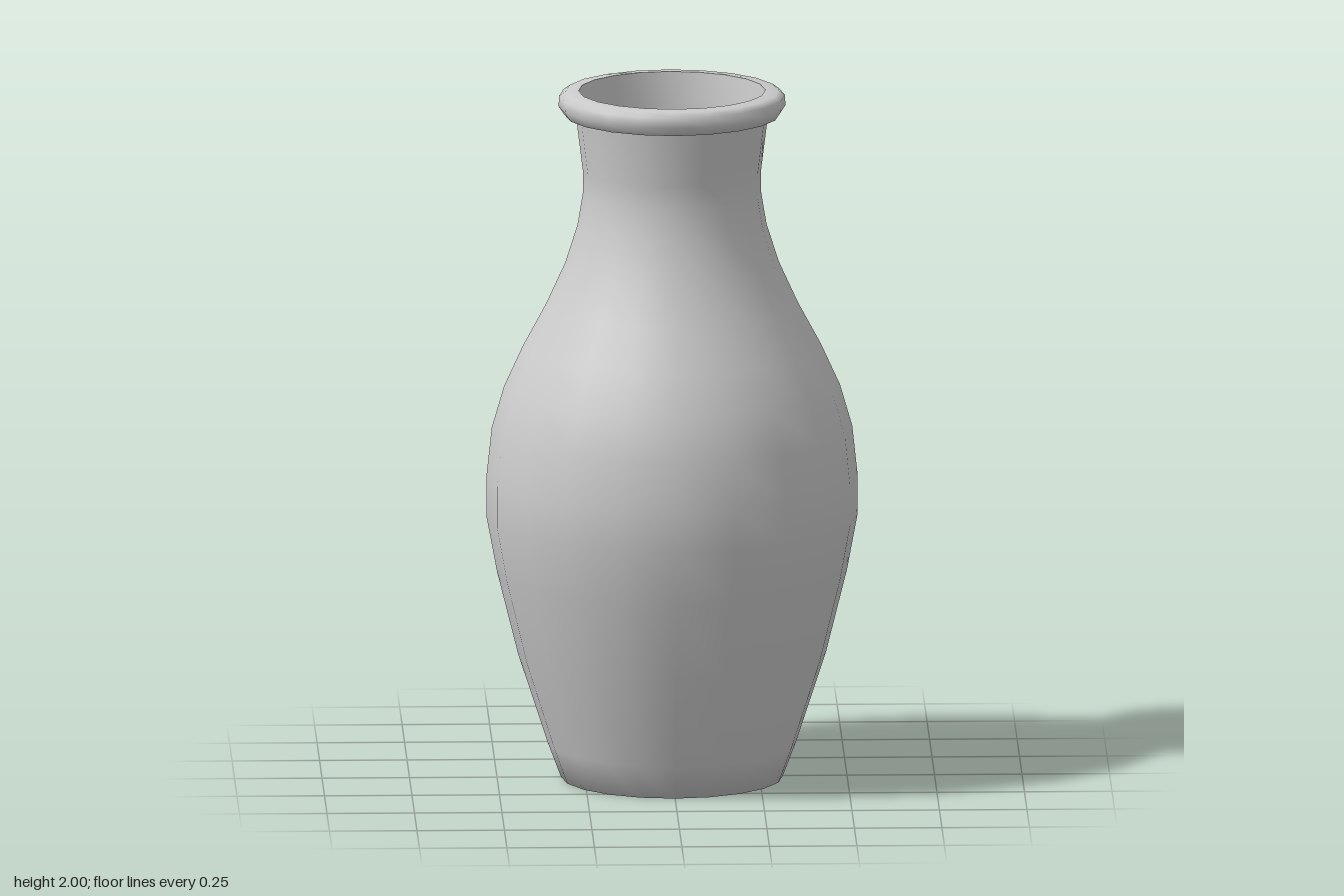
import * as THREE from 'three';

const SIDES = 20;

// Turns a [radius, height] profile into a smooth, 20-sided surface.
function turned(name, profile, material) {
  const points = profile.map(([r, y]) => new THREE.Vector2(r, y));
  const mesh = new THREE.Mesh(new THREE.LatheGeometry(points, SIDES), material);
  mesh.name = name;
  return mesh;
}

export function createModel() {
  const group = new THREE.Group();
  group.name = 'vase';
  const clay = new THREE.MeshStandardMaterial({ color: 0xcccccc, side: THREE.DoubleSide });

  // Closed base, swelling belly, shoulder and flared neck
  group.add(turned('body', [
    [0, 0], [0.317, 0], [0.355, 0.1], [0.44, 0.36], [0.5, 0.6], [0.53, 0.76],
    [0.53, 0.88], [0.515, 1.02], [0.48, 1.14], [0.425, 1.26], [0.36, 1.38],
    [0.305, 1.5], [0.27, 1.61], [0.255, 1.7], [0.255, 1.77], [0.275, 1.93],
  ], clay));

  // Rounded collar around the mouth
  group.add(turned('lip', [
    [0.27, 1.93], [0.307, 1.93], [0.324, 1.955], [0.323, 1.985], [0.305, 1.998], [0.267, 2],
  ], clay));

  // Inner wall of the neck, tapering to a rounded floor
  group.add(turned('inside', [
    [0.267, 2], [0.255, 1.9], [0.245, 1.7], [0.225, 1.58], [0.16, 1.5], [0.08, 1.47], [0, 1.46],
  ], clay));

  return group;
}
